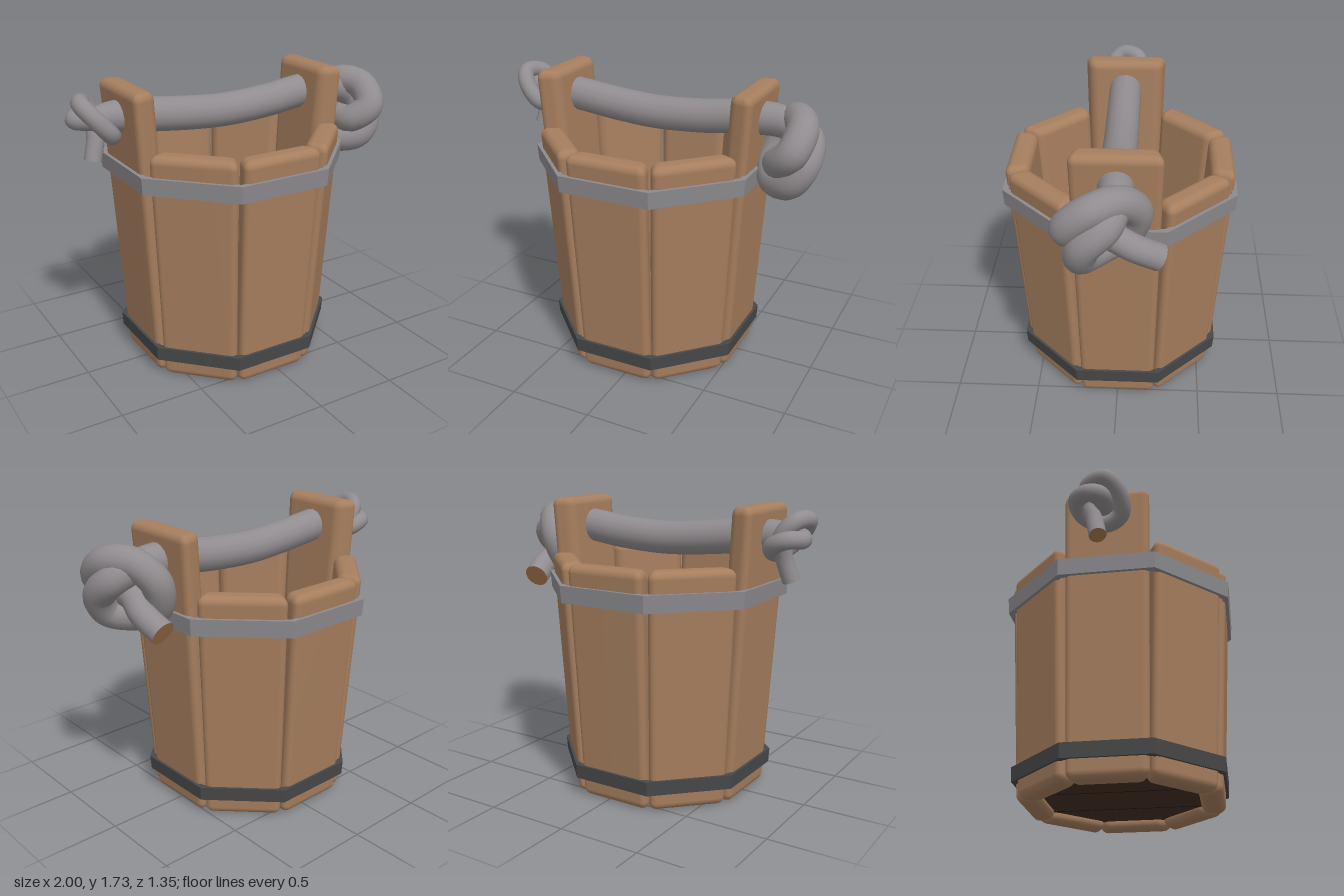
import * as THREE from 'three';
import { mergeVertices, toCreasedNormals } from 'three/addons/utils/BufferGeometryUtils.js';
import { RoundedBoxGeometry } from 'three/addons/geometries/RoundedBoxGeometry.js';

const mat = (name, color) => {
  const m = new THREE.MeshStandardMaterial({ color });
  m.name = name;
  return m;
};

const CENTRE_X = -0.05;
const COS8 = Math.cos(Math.PI / 8);

function mesh(name, geometry, material) {
  const m = new THREE.Mesh(geometry, material);
  m.name = name;
  return m;
}

// Rounded plank leaning outward, narrower toward the bucket's axis
function staveGeometry(height) {
  const depth = 0.14;
  const g = new RoundedBoxGeometry(1, height, depth, 4, 0.048);
  const p = g.attributes.position;
  for (let i = 0; i < p.count; i++) {
    const y = p.getY(i) + height / 2;
    const r = 0.578 + 0.06 * y - depth / 2 + p.getZ(i);
    const width = 0.14 + 0.56 * Math.min(r, 0.67);
    // keep the edge rounding at its real size while narrowing the plank
    const x = p.getX(i);
    p.setXYZ(i, x - Math.sign(x) * (1 - width) / 2 * Math.min(1, Math.abs(x) / 0.45), y, r);
  }
  g.deleteAttribute('normal');
  g.deleteAttribute('uv');
  const merged = mergeVertices(g, 1e-4);
  merged.computeVertexNormals();
  return merged;
}

// Eight-sided hoop with flat faces
function hoopGeometry(y0, y1, a0, a1, thickness) {
  const pts = [[a0 - thickness, y0], [a0, y0], [a1, y1], [a1 - thickness, y1], [a0 - thickness, y0]]
    .map(([a, y]) => new THREE.Vector2(a / COS8, y));
  return toCreasedNormals(new THREE.LatheGeometry(pts, 8, Math.PI / 8), 0.3);
}

// Rope path: x, y, z, radius
const ROPE = [
  // left knot, from its tail inward
  [-0.875, 1.315, -0.02, 0.05], [-0.84, 1.45, -0.05, 0.05], [-0.84, 1.56, -0.09, 0.05],
  [-0.90, 1.64, -0.07, 0.05], [-0.94, 1.65, 0.03, 0.05], [-0.89, 1.58, 0.1, 0.05],
  [-0.81, 1.49, 0.1, 0.05], [-0.77, 1.46, 0, 0.05], [-0.80, 1.51, -0.12, 0.05],
  [-0.89, 1.55, -0.14, 0.05], [-0.95, 1.55, -0.06, 0.05], [-0.89, 1.56, 0, 0.06],
  // sagging handle
  [-0.77, 1.56, 0, 0.085], [-0.62, 1.55, 0, 0.1], [-0.3, 1.515, 0, 0.1], [-0.05, 1.5, 0, 0.1],
  [0.25, 1.515, 0, 0.1], [0.55, 1.55, 0, 0.1],
  // right knot, out to its tail
  [0.76, 1.54, 0, 0.09], [0.89, 1.48, 0.04, 0.09], [0.91, 1.37, 0.15, 0.09],
  [0.84, 1.26, 0.17, 0.09], [0.72, 1.235, 0.08, 0.09], [0.67, 1.3, -0.05, 0.09],
  [0.71, 1.46, -0.11, 0.09], [0.80, 1.57, -0.02, 0.09], [0.88, 1.56, 0.12, 0.09],
  [0.86, 1.45, 0.235, 0.09], [0.77, 1.37, 0.18, 0.085], [0.76, 1.36, 0.05, 0.08],
  [0.80, 1.3, -0.1, 0.075], [0.775, 1.225, -0.24, 0.075],
];

function buildRope(ropeMat, endMat) {
  const group = new THREE.Group();
  group.name = 'ropeHandle';
  const curve = new THREE.CatmullRomCurve3(ROPE.map(([x, y, z]) => new THREE.Vector3(x, y, z)));
  curve.arcLengthDivisions = 1000;
  const steps = 260, sides = 16;
  const g = new THREE.TubeGeometry(curve, steps, 1, sides);
  const p = g.attributes.position, v = new THREE.Vector3();
  for (let i = 0; i <= steps; i++) {
    const t = curve.getUtoTmapping(i / steps) * (ROPE.length - 1);
    const k = Math.min(Math.floor(t), ROPE.length - 2);
    const radius = THREE.MathUtils.lerp(ROPE[k][3], ROPE[k + 1][3], t - k);
    const c = curve.getPointAt(i / steps);
    for (let j = 0; j <= sides; j++) {
      const n = i * (sides + 1) + j;
      v.fromBufferAttribute(p, n).sub(c).multiplyScalar(radius).add(c);
      p.setXYZ(n, v.x, v.y, v.z);
    }
  }
  group.add(mesh('rope', g, ropeMat));

  // cut ends
  for (const [u, sign, radius, name] of [[0, -1, 0.05, 'leftRopeEnd'], [1, 1, 0.075, 'rightRopeEnd']]) {
    const cap = mesh(name, new THREE.CircleGeometry(radius, 16), endMat);
    const c = curve.getPointAt(u);
    cap.position.copy(c);
    cap.lookAt(c.clone().addScaledVector(curve.getTangentAt(u), sign));
    group.add(cap);
  }
  return group;
}

export function createModel() {
  const wood = mat('wood', 0xa67e5e);
  const darkWood = mat('dark floor wood', 0x432f22);
  const groove = mat('floor groove', 0x1c140e);
  const lightMetal = mat('light hoop metal', 0x8c8a8e);
  const darkMetal = mat('dark hoop metal', 0x474849);
  const ropeMat = mat('grey rope', 0x918c8f);
  const endMat = mat('rope end', 0xa8794c);

  const model = new THREE.Group();
  model.name = 'woodenBucket';
  const bucket = new THREE.Group();
  bucket.name = 'bucket';
  bucket.position.x = CENTRE_X;
  model.add(bucket);

  // staves: the two on the sides rise to hold the rope
  const short = staveGeometry(1.4), tall = staveGeometry(1.725);
  for (let i = 0; i < 8; i++) {
    const isPost = i % 4 === 2;
    const stave = mesh(isPost ? 'handlePost' : 'stave', isPost ? tall : short, wood);
    stave.rotation.y = i * Math.PI / 4;
    bucket.add(stave);
  }

  // hoops
  bucket.add(mesh('upperHoop', hoopGeometry(1.18, 1.28, 0.668, 0.675, 0.035), lightMetal));
  bucket.add(mesh('lowerHoop', hoopGeometry(0.11, 0.195, 0.6, 0.605, 0.035), darkMetal));

  // floor with plank seams
  const floorR = 0.5 / COS8;
  const floor = mesh('floor',
    toCreasedNormals(new THREE.CylinderGeometry(floorR, floorR, 0.06, 8, 1, false, Math.PI / 8), 0.3), darkWood);
  floor.position.y = 0.08;
  bucket.add(floor);
  for (const x of [-0.17, 0.17]) {
    const seam = mesh('floorSeam', new THREE.BoxGeometry(0.008, 0.066, 0.96), groove);
    seam.position.set(x, 0.08, 0);
    bucket.add(seam);
  }

  model.add(buildRope(ropeMat, endMat));
  return model;
}
